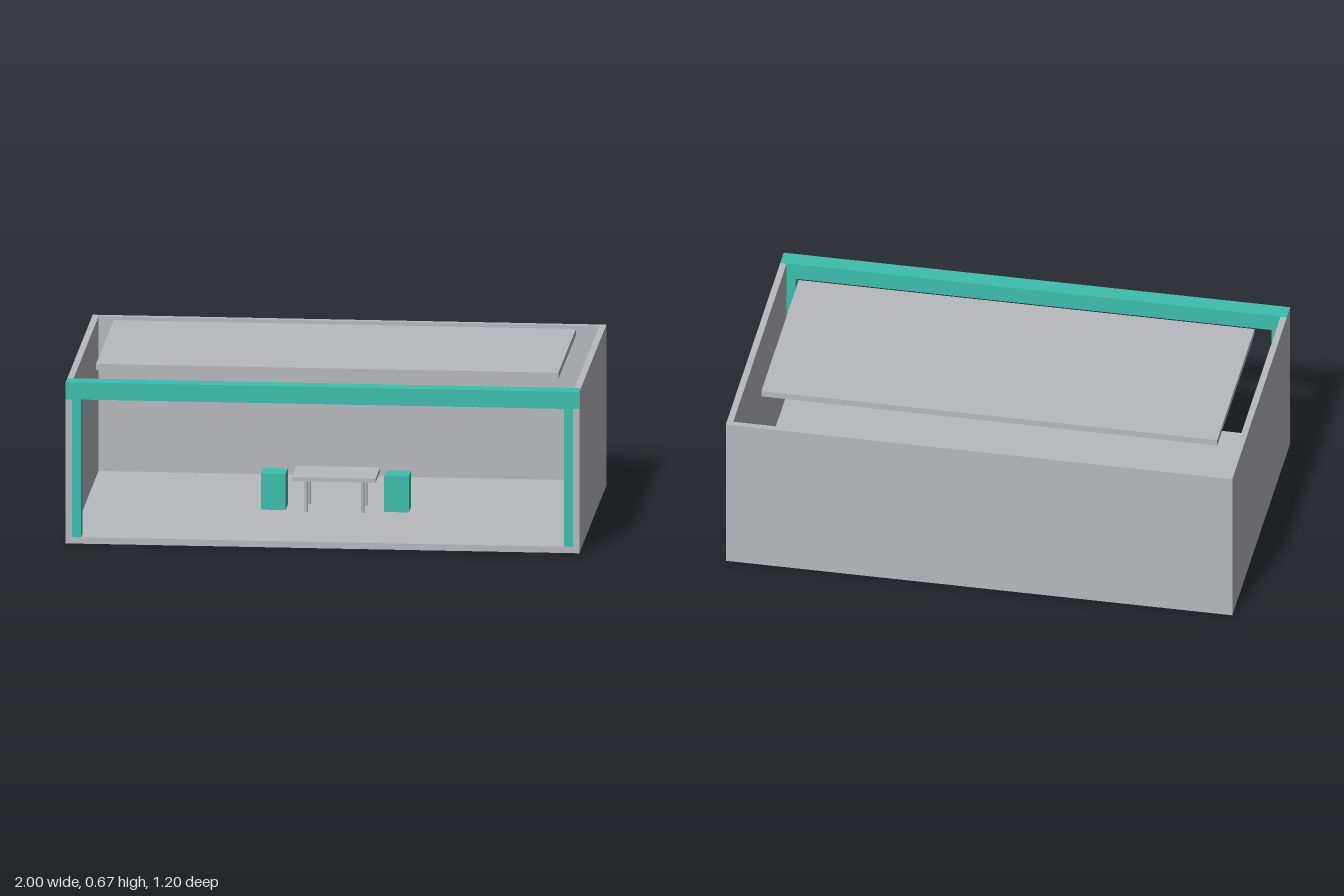
import * as THREE from 'three';

export function createModel() {
  const model = new THREE.Group();
  model.name = 'exhibitionBooth';

  const grey = new THREE.MeshStandardMaterial({ color: 0xb8b9bd });
  grey.name = 'lightGrey';
  const teal = new THREE.MeshStandardMaterial({ color: 0x3cbfae });
  teal.name = 'teal';

  // Box given by its minimum and maximum corners
  function box(name, material, [x0, y0, z0], [x1, y1, z1], parent = model) {
    const mesh = new THREE.Mesh(new THREE.BoxGeometry(x1 - x0, y1 - y0, z1 - z0), material);
    mesh.position.set((x0 + x1) / 2, (y0 + y1) / 2, (z0 + z1) / 2);
    mesh.name = name;
    parent.add(mesh);
    return mesh;
  }

  // Shell: floor, back wall and side walls
  box('floor', grey, [-1, 0, -0.6], [1, 0.025, 0.6]);
  box('backWall', grey, [-0.975, 0.025, -0.6], [0.975, 0.64, -0.575]);
  for (const [side, s] of [['left', 1], ['right', -1]]) {
    const wall = box(side + 'Wall', grey, [-0.0125, 0.025, -0.6], [0.0125, 0.64, 0.599]);
    wall.position.x = s * 0.9875;

    // Front post standing against the inside of the wall
    const post = box(side + 'Post', teal, [-0.0175, 0.025, 0.53], [0.0175, 0.575, 0.599]);
    post.position.x = s * 0.9575;
  }

  // Front beam and raised ceiling panel
  box('frontBeam', teal, [-0.9995, 0.573, 0.53], [0.9995, 0.641, 0.6]);
  box('ceilingPanel', grey, [-0.9, 0.643, -0.388], [0.9, 0.668, 0.388]);

  // Table with four round legs
  const table = new THREE.Group();
  table.name = 'table';
  model.add(table);
  box('tableTop', grey, [-0.163, 0.152, -0.1], [0.163, 0.168, 0.1], table);
  const legGeometry = new THREE.CylinderGeometry(0.0065, 0.0065, 0.127, 16);
  for (const x of [-0.11, 0.11]) {
    for (const z of [-0.067, 0.067]) {
      const leg = new THREE.Mesh(legGeometry, grey);
      leg.position.set(x, 0.0885, z);
      leg.name = 'tableLeg';
      table.add(leg);
    }
  }

  // Block stools at either end of the table
  for (const [side, s] of [['left', 1], ['right', -1]]) {
    const stool = box(side + 'Stool', teal, [-0.048, 0.025, -0.05], [0.048, 0.168, 0.05]);
    stool.position.x = s * 0.24;
  }

  return model;
}
